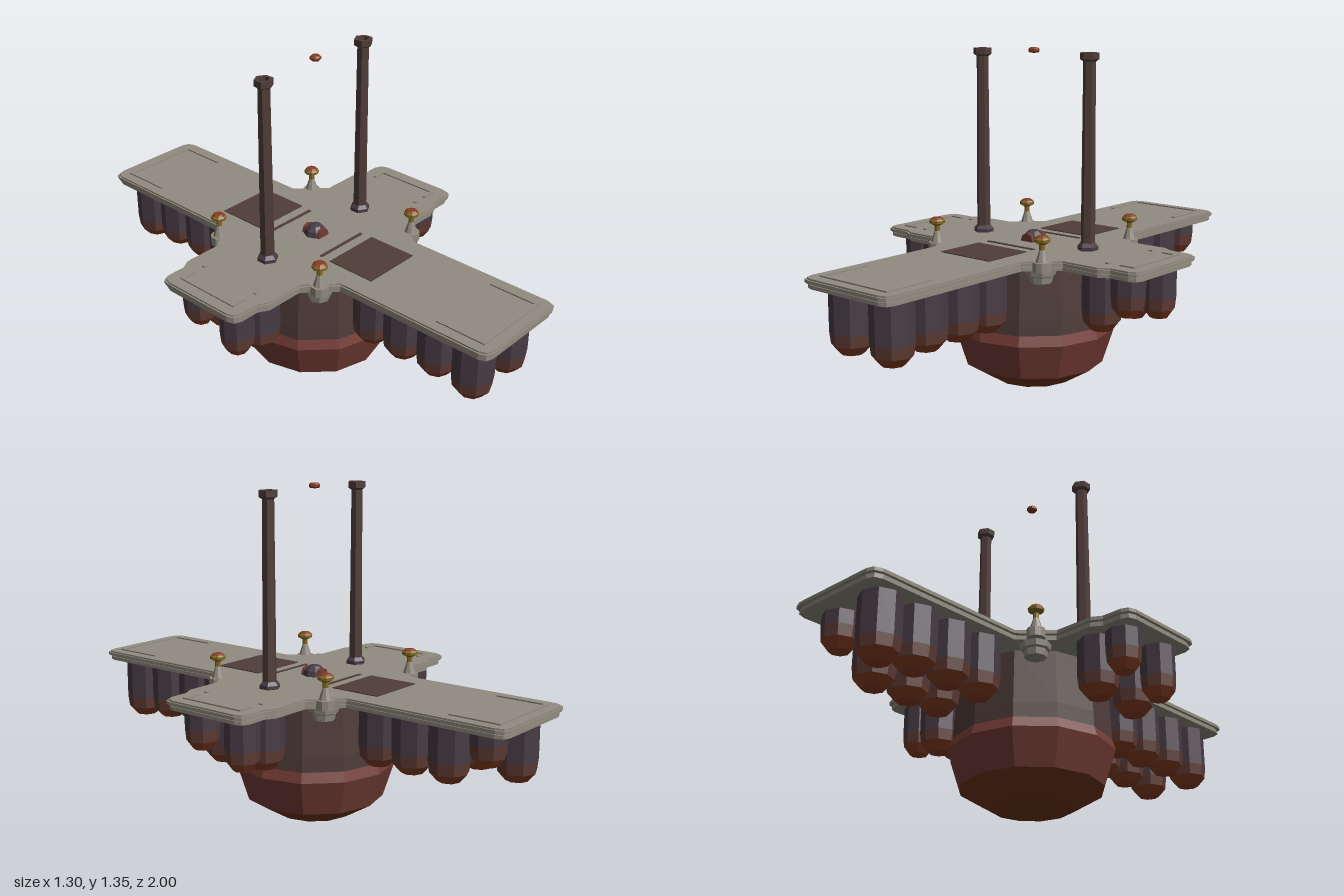
import * as THREE from 'three';

const paint = (name, color, side = THREE.FrontSide) => {
  const m = new THREE.MeshStandardMaterial({ color, flatShading: true, side });
  m.name = name;
  return m;
};

export function createModel() {
  const stone = paint('stone grey', 0x918c80);
  const plum = paint('dark plum', 0x483c45, THREE.DoubleSide);
  const umber = paint('umber', 0x503d39, THREE.DoubleSide);
  const darkRust = paint('dark rust', 0x5f3b34, THREE.DoubleSide);
  const rust = paint('rust', 0x863d24, THREE.DoubleSide);
  const brick = paint('brick red', 0x733b35, THREE.DoubleSide);
  const copper = paint('copper brown', 0x703517, THREE.DoubleSide);
  const brass = paint('brass', 0x84691f, THREE.DoubleSide);

  const model = new THREE.Group();
  model.name = 'floatingDock';

  const add = (parent, name, geo, mat, x = 0, y = 0, z = 0) => {
    const mesh = new THREE.Mesh(geo, mat);
    mesh.name = name;
    mesh.position.set(x, y, z);
    parent.add(mesh);
    return mesh;
  };
  const lathe = (pts, sides) =>
    new THREE.LatheGeometry(pts.map(([r, y]) => new THREE.Vector2(r, y)), sides);
  const box = (parent, name, mat, w, h, d, x, y, z) =>
    add(parent, name, new THREE.BoxGeometry(w, h, d), mat, x, y, z);

  // Cross-shaped deck: one quarter of the outline, mirrored four ways
  const quarter = [[0.648, 0.16], [0.638, 0.188], [0.61, 0.2], [0.53, 0.2], [0.49, 0.223],
    [0.33, 0.223], [0.22, 0.33], [0.22, 0.96], [0.209, 0.989], [0.18, 1]];
  const flip = (sx, sz) => quarter.map(([x, z]) => [x * sx, z * sz]);
  const outline = [...flip(1, 1), ...flip(-1, 1).reverse(), ...flip(-1, -1), ...flip(1, -1).reverse()];
  const slab = (name, inset, y, depth) => {
    const shape = new THREE.Shape(outline.map(([x, z]) =>
      new THREE.Vector2(x - Math.sign(x) * inset, z - Math.sign(z) * inset)));
    const geo = new THREE.ExtrudeGeometry(shape, { depth, bevelEnabled: false });
    geo.rotateX(-Math.PI / 2);
    add(model, name, geo, stone, 0, y, 0);
  };
  slab('deckLowerLip', 0.008, 0.552, 0.014);
  slab('deckGroove', 0.012, 0.566, 0.006);
  slab('deckRim', 0, 0.572, 0.012);
  slab('deckTop', 0.006, 0.584, 0.006);

  // Deck markings and raised strips
  for (const s of [-1, 1]) {
    box(model, 'deckHatch', umber, 0.25, 0.004, 0.21, 0, 0.591, s * 0.295);
    box(model, 'deckSlot', umber, 0.24, 0.004, 0.013, 0, 0.591, s * 0.14);
    box(model, 'endStrip', stone, 0.345, 0.006, 0.014, 0, 0.592, s * 0.945);
    box(model, 'armStrip', stone, 0.014, 0.006, 0.285, s * 0.59, 0.592, 0);
    for (const t of [-1, 1]) {
      box(model, 'endSideStrip', stone, 0.014, 0.006, 0.2, t * 0.165, 0.592, s * 0.842);
      box(model, 'armSideStrip', stone, 0.06, 0.006, 0.014, s * 0.56, 0.592, t * 0.136);
      box(model, 'deckStud', stone, 0.016, 0.006, 0.016, s * 0.475, 0.592, t * 0.138);
    }
  }

  // Faceted bowl hull below the centre, in three colour bands
  add(model, 'hullNeck', lathe([[0.312, 0.28], [0.31, 0.34], [0.295, 0.555]], 12), umber);
  add(model, 'hullBand', lathe([[0.28, 0.1], [0.325, 0.24], [0.312, 0.28]], 12), brick);
  add(model, 'hullBottom', lathe([[0, 0], [0.16, 0.028], [0.28, 0.1]], 12), copper);

  // Hanging float: straight body, darker shoulder, rounded tip
  const addFloat = (x, z, r, bottom) => {
    const g = new THREE.Group();
    g.name = 'float';
    g.position.set(x, 0, z);
    add(g, 'floatBody', lathe([[r, bottom + 0.09], [r, 0.555]], 8), plum);
    add(g, 'floatShoulder', lathe([[r * 0.93, bottom + 0.045], [r, bottom + 0.09]], 8), darkRust);
    add(g, 'floatTip', lathe([[0, bottom], [r * 0.55, bottom + 0.01], [r * 0.93, bottom + 0.045]], 8), rust);
    model.add(g);
  };
  for (const sx of [-1, 1]) {
    for (const sz of [-1, 1]) {
      // Rows under the long arms
      [0.4, 0.55, 0.71, 0.87].forEach((z, i) => {
        const short = sx > 0 && sz < 0 && i === 3;
        addFloat(sx * 0.105, sz * z, short ? 0.07 : 0.08, short ? 0.405 : i === 3 ? 0.298 : 0.315);
      });
      // Pairs under the short arms
      addFloat(sx * 0.42, sz * 0.1, 0.077, sz > 0 ? 0.312 : 0.32);
      addFloat(sx * 0.54, sz * 0.1, 0.066, sx * sz > 0 ? 0.385 : 0.34);
    }
  }

  // Corner bollards with their stepped brackets
  for (const sx of [-1, 1]) {
    for (const sz of [-1, 1]) {
      const g = new THREE.Group();
      g.name = 'bollard';
      g.position.set(sx * 0.272, 0, sz * 0.272);
      add(g, 'bollardPad', new THREE.CylinderGeometry(0.036, 0.036, 0.036, 10), stone, 0, 0.571, 0);
      add(g, 'bollardFoot', lathe([[0.026, 0.588], [0.022, 0.6], [0.011, 0.635]], 8), stone);
      add(g, 'bollardStem', lathe([[0.011, 0.635], [0.011, 0.655], [0.03, 0.665], [0.031, 0.676], [0.026, 0.682]], 8), brass);
      add(g, 'bollardCap', lathe([[0.026, 0.682], [0.018, 0.688], [0, 0.688]], 8), rust);
      model.add(g);
      add(model, 'cornerBracket', lathe([[0, 0.5], [0.042, 0.5], [0.046, 0.525], [0.056, 0.53], [0.06, 0.556]], 8),
        stone, sx * 0.236, 0, sz * 0.236);
    }
  }

  // Two hollow hexagonal masts
  const mast = [[0.04, 0.588], [0.04, 0.605], [0.028, 0.618], [0.024, 1.31], [0.037, 1.318],
    [0.037, 1.343], [0.023, 1.343], [0.02, 0.592]];
  for (const s of [-1, 1]) {
    add(model, 'mast', lathe(mast, 6), umber, s * 0.273, 0, 0);
    add(model, 'mastFoot', lathe([[0.041, 0.589], [0.041, 0.604], [0.029, 0.618]], 6), plum, s * 0.273, 0, 0);
  }

  // Central dome lamp with red ends, and the small bead above it
  add(model, 'lampHood', new THREE.SphereGeometry(0.047, 8, 6), plum, 0, 0.588, 0);
  const lens = add(model, 'lampLens', new THREE.CylinderGeometry(0.03, 0.03, 0.09, 8), brick, 0, 0.594, 0);
  lens.rotation.x = Math.PI / 2;
  add(model, 'floatingBead', lathe([[0, 1.333], [0.016, 1.333], [0.022, 1.339], [0.022, 1.347], [0.016, 1.353], [0, 1.353]], 8), rust);

  return model;
}
